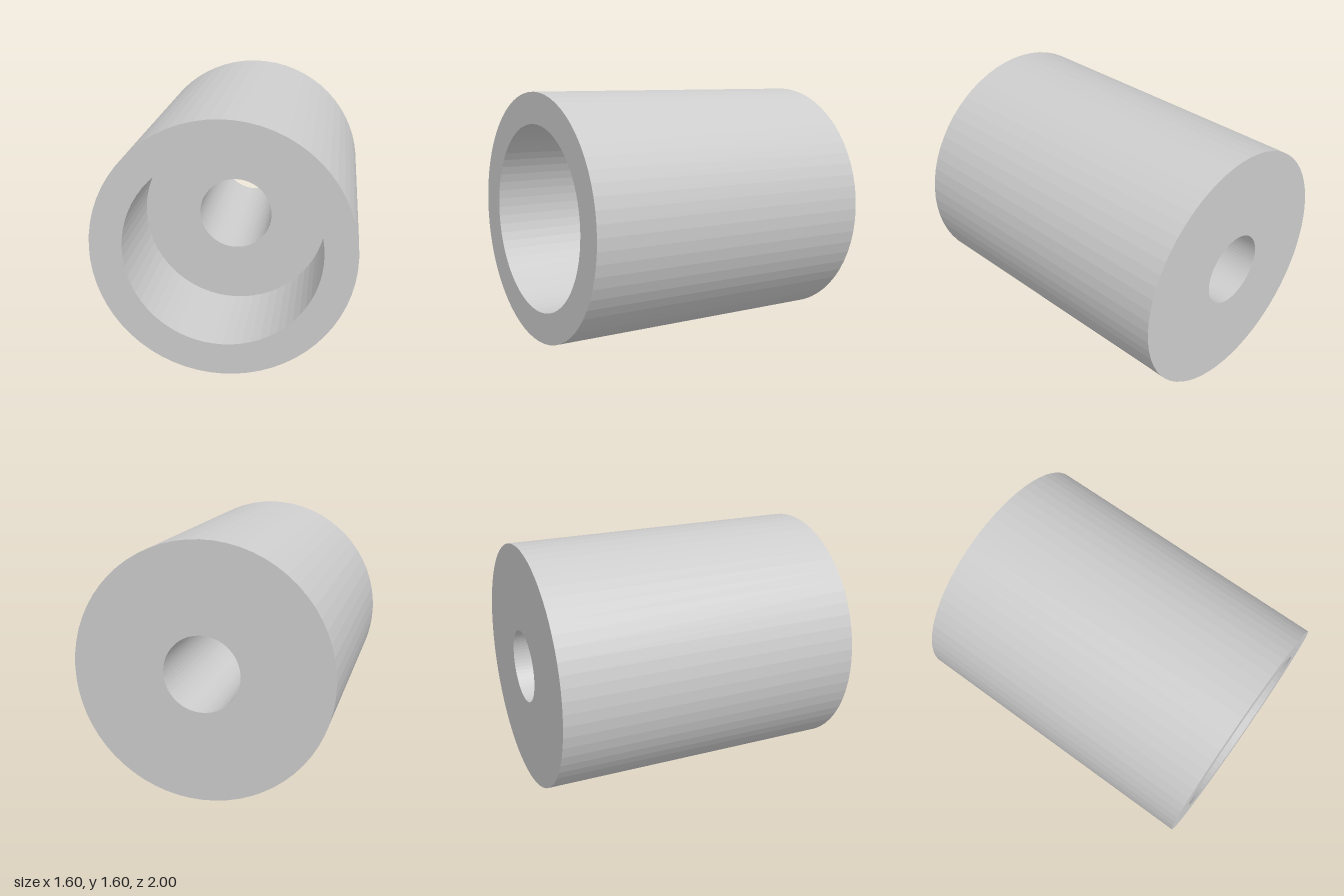
import * as THREE from 'three';

const OUTER = 0.8, BORE = 0.6, HOLE = 0.237;
const BACK = -1, FRONT = 1, FLOOR = 0.3;

export function createModel() {
  const group = new THREE.Group();
  group.name = 'counterboredSpacer';

  const greyMetal = new THREE.MeshStandardMaterial({ color: 0xcccccc, flatShading: true });
  greyMetal.name = 'grey metal';

  // Closed wall section: back face, outer wall, front rim, wide bore, bore floor, through hole
  const profile = [
    [HOLE, BACK], [OUTER, BACK], [OUTER, FRONT], [BORE, FRONT],
    [BORE, FLOOR], [HOLE, FLOOR], [HOLE, BACK],
  ].map(([r, y]) => new THREE.Vector2(r, y));

  // Turn the section, then lay the axis along z with the wide bore in front
  const geometry = new THREE.LatheGeometry(profile, 64);
  geometry.rotateX(Math.PI / 2);

  const sleeve = new THREE.Mesh(geometry, greyMetal);
  sleeve.name = 'sleeve';
  sleeve.position.y = OUTER;
  group.add(sleeve);
  return group;
}
